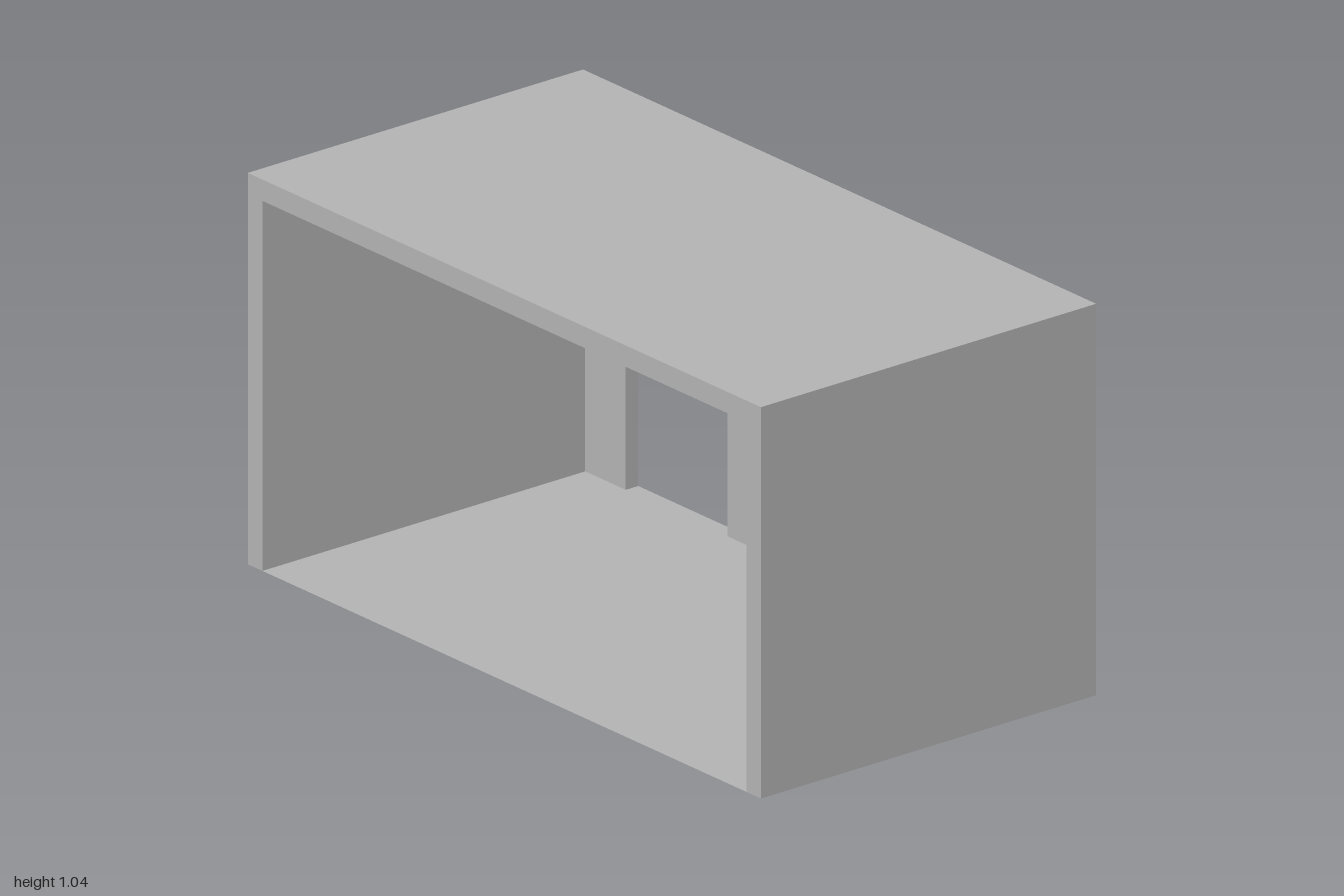
import * as THREE from 'three';

// Overall size and wall thicknesses
const W = 1.074, H = 1.045, L = 2;
const T = 0.057;      // end walls and roof
const SIDE = 0.04;    // side wall with the doorway
const DOOR = { back: -0.785, front: -0.389, top: 0.706 };

export function createModel() {
  const group = new THREE.Group();
  const grey = new THREE.MeshStandardMaterial({ color: 0xb2b2b2 });
  grey.name = 'plain grey';
  grey.side = THREE.DoubleSide;

  const add = (name, geometry, x, y, z) => {
    const mesh = new THREE.Mesh(geometry, grey);
    mesh.name = name;
    mesh.position.set(x, y, z);
    group.add(mesh);
    return mesh;
  };

  // Roof slab over the whole room
  add('roof', new THREE.BoxGeometry(W, T, L), 0, H - T / 2, 0);

  // Front and back walls
  for (const [name, s] of [['frontWall', 1], ['backWall', -1]]) {
    add(name, new THREE.BoxGeometry(W, H - T, T), 0, (H - T) / 2, s * (L - T) / 2);
  }

  // Left wall with a doorway reaching the floor; the opposite side stays open.
  // Drawn with shape x = -z, then turned so the extrusion runs along x.
  const end = L / 2 - T;
  const wall = new THREE.Shape([
    [-end, 0], [-DOOR.front, 0], [-DOOR.front, DOOR.top], [-DOOR.back, DOOR.top],
    [-DOOR.back, 0], [end, 0], [end, H - T], [-end, H - T],
  ].map(([x, y]) => new THREE.Vector2(x, y)));
  const wallGeometry = new THREE.ExtrudeGeometry(wall, { depth: SIDE, bevelEnabled: false });
  wallGeometry.rotateY(Math.PI / 2);
  add('doorwayWall', wallGeometry, W / 2 - SIDE, 0, 0);

  // Thin floor
  const floorGeometry = new THREE.PlaneGeometry(W, L);
  floorGeometry.rotateX(-Math.PI / 2);
  add('floor', floorGeometry, 0, 0, 0);

  return group;
}
